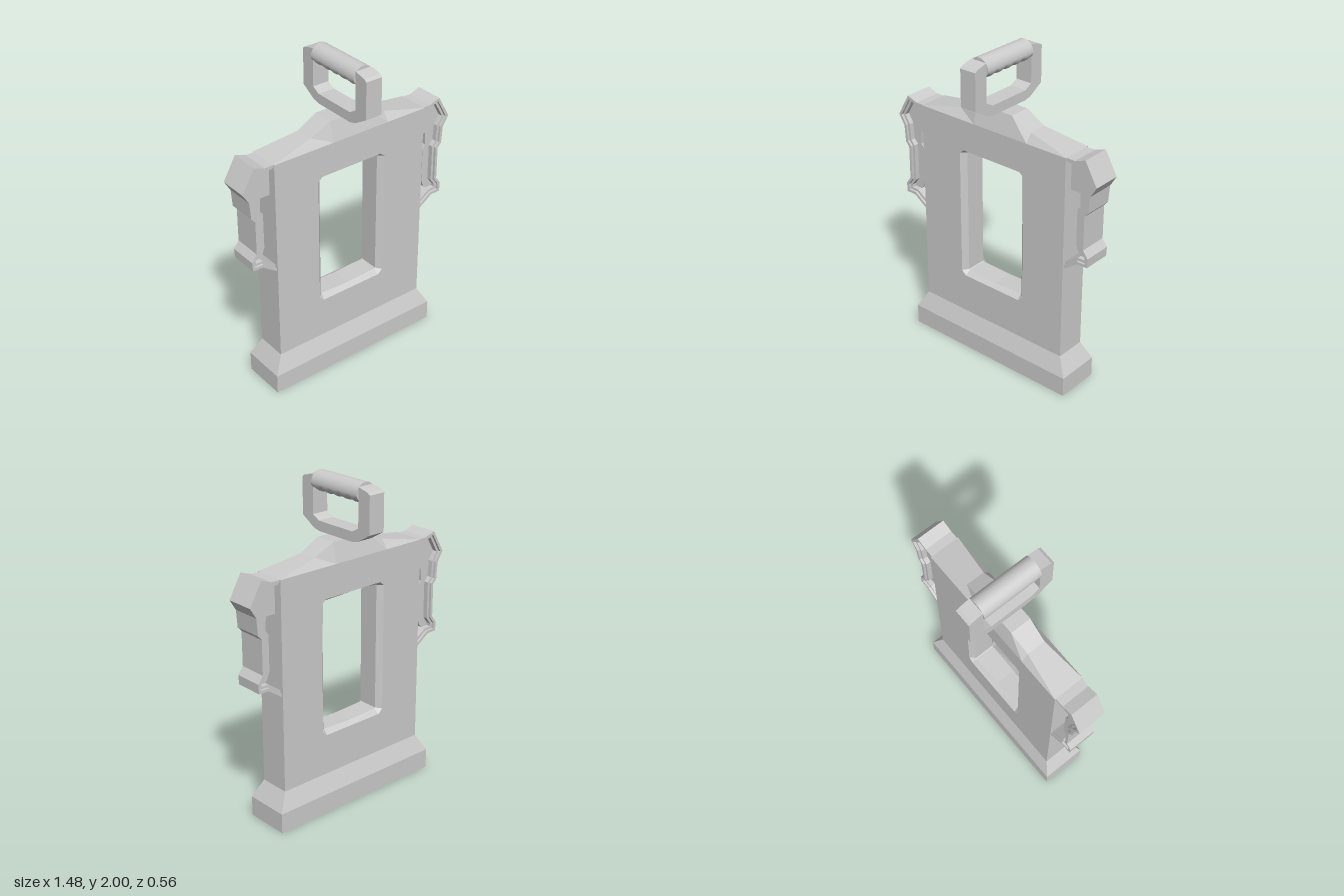
import * as THREE from 'three';

const mat = new THREE.MeshStandardMaterial({ color: 0xcccccc, flatShading: true, side: THREE.DoubleSide });
const smooth = new THREE.MeshStandardMaterial({ color: 0xcccccc });

function add(parent, name, geometry, material = mat) {
  const m = new THREE.Mesh(geometry, material);
  m.name = name;
  parent.add(m);
  return m;
}

// Skin a row of cross-sections with quads
function loft(rings, closed = true) {
  const pos = [];
  for (let i = 0; i < rings.length - 1; i++) {
    const r = rings[i], q = rings[i + 1], n = r.length;
    for (let j = 0; j < (closed ? n : n - 1); j++) {
      const k = (j + 1) % n;
      pos.push(...r[j], ...r[k], ...q[k], ...r[j], ...q[k], ...q[j]);
    }
  }
  const g = new THREE.BufferGeometry();
  g.setAttribute('position', new THREE.Float32BufferAttribute(pos, 3));
  g.computeVertexNormals();
  return g;
}

const shapeOf = pts => new THREE.Shape(pts.map(p => new THREE.Vector2(p[0], p[1])));

// Flat outline extruded evenly to both sides of z = 0
function slab(pts, half) {
  const g = new THREE.ExtrudeGeometry(shapeOf(pts), { depth: half * 2, bevelEnabled: false });
  return g.translate(0, 0, -half);
}

// Shift an open path to the right of its direction, with mitred corners
function inset(path, d) {
  const normal = (a, b) => {
    const l = Math.hypot(b[0] - a[0], b[1] - a[1]);
    return [(b[1] - a[1]) / l, -(b[0] - a[0]) / l];
  };
  return path.map((p, i) => {
    const n1 = normal(path[Math.max(i - 1, 0)], path[Math.max(i, 1)]);
    const last = path.length - 1;
    const n2 = normal(path[Math.min(i, last - 1)], path[Math.min(i + 1, last)]);
    const k = d / (1 + n1[0] * n2[0] + n1[1] * n2[1]);
    return [p[0] + (n1[0] + n2[0]) * k, p[1] + (n1[1] + n2[1]) * k];
  });
}

const W = 0.535, D = 0.097, Y0 = 0.235, Y1 = 1.535;

function makeBody() {
  const body = new THREE.Group();
  body.name = 'body';

  // Flared skirt, open underneath
  const rect = (w, d, y) => [[-w, y, d], [w, y, d], [w, y, -d], [-w, y, -d]];
  add(body, 'baseSkirt', loft([rect(0.597, 0.14, 0), rect(0.597, 0.14, 0.125), rect(W, D, Y0)]));

  // Front and back plates with the window opening
  const opening = [[0.21, 0.49], [0.24, 0.517], [0.24, 1.32], [0.21, 1.345], [0, 1.345],
    [-0.21, 1.345], [-0.24, 1.32], [-0.24, 0.517], [-0.21, 0.49], [0, 0.49]];
  const throat = [[0.204, 0.518], [0.21, 0.523], [0.21, 1.32], [0.204, 1.324], [0, 1.335],
    [-0.204, 1.324], [-0.21, 1.32], [-0.21, 0.523], [-0.204, 0.518], [0, 0.51]];
  const plate = shapeOf([[-W, Y0], [W, Y0], [W, Y1], [-W, Y1]]);
  plate.holes.push(new THREE.Path(opening.map(p => new THREE.Vector2(...p))));
  add(body, 'frontPlate', new THREE.ShapeGeometry(plate).translate(0, 0, D));
  add(body, 'backPlate', new THREE.ShapeGeometry(plate).rotateY(Math.PI).translate(0, 0, -D));

  // Chamfered lining of the window
  const at = (pts, z) => pts.map(([x, y]) => [x, y, z]);
  add(body, 'windowLining', loft([at(opening, D), at(throat, 0.065), at(throat, -0.065), at(opening, -D)]));

  // Narrow sides
  for (const s of [1, -1]) {
    add(body, s > 0 ? 'leftWall' : 'rightWall',
      new THREE.PlaneGeometry(2 * D, Y1 - Y0).rotateY(s * Math.PI / 2).translate(s * W, (Y0 + Y1) / 2, 0));
  }

  // Faceted shoulders rising to a flat crown
  const crest = [[W, Y1 + 0.002, D - 0.001], [0.26, 1.59, 0.058], [0.13, 1.655, 0.066],
    [-0.13, 1.655, 0.066], [-0.26, 1.59, 0.058], [-W, Y1 + 0.002, D - 0.001]];
  add(body, 'shoulders', loft(crest.map(([x, y, z]) => [[x, Y1, D], [x, y, z], [x, y, -z], [x, Y1, -D]]), false));
  return body;
}

// Side latch: stepped outer rim around a recessed web with a slot
function makeLatch(s) {
  const latch = new THREE.Group();
  latch.name = s > 0 ? 'leftLatch' : 'rightLatch';
  const outer = [[0.53, 1.535], [0.59, 1.535], [0.66, 1.56], [0.74, 1.42], [0.70, 1.355], [0.692, 1.25],
    [0.667, 1.222], [0.667, 1.01], [0.70, 0.965], [0.697, 0.907], [0.63, 0.905], [0.53, 0.835]];
  const slot = [[0.6, 0.955], [0.585, 1.0], [0.585, 1.22], [0.605, 1.245], [0.6, 1.327], [0.53, 1.327]];
  const side = pts => pts.map(([x, y]) => [s * x, y]);
  const strip = (a, b) => side([...inset(outer, a), ...inset(outer, b).reverse()]);
  add(latch, 'outerRim', slab(strip(0, 0.017), 0.09));
  add(latch, 'innerRim', slab(strip(0.017, 0.032), 0.075));
  add(latch, 'web', slab(side([...inset(outer, 0.032).slice(0, -1), ...slot]), 0.045));
  return latch;
}

function makeHandle() {
  const handle = new THREE.Group();
  handle.name = 'handle';

  // U-shaped bail, drawn in profile and turned to run along z
  const half = [[0.14, 1.657], [0.185, 1.668], [0.28, 1.725], [0.28, 1.95], [0.262, 1.963], [0.19, 1.98],
    [0.19, 1.745], [0.14, 1.718]];
  const mirrored = half.map(([x, y]) => [-x, y]).reverse();
  add(handle, 'bail', slab([...half, ...mirrored], 0.054).rotateY(Math.PI / 2));

  // Round grip with finger bumps underneath
  const grip = new THREE.CylinderGeometry(0.067, 0.067, 0.38, 32, 50).rotateX(Math.PI / 2);
  const p = grip.attributes.position;
  for (let i = 0; i < p.count; i++) {
    const y = p.getY(i);
    if (y < 0) {
      const bump = Math.abs(Math.cos(p.getZ(i) * Math.PI / 0.074));
      p.setY(i, y * (0.58 + 0.22 * bump));
    }
  }
  grip.computeVertexNormals();
  add(handle, 'grip', grip.translate(0, 1.933, 0), smooth);
  return handle;
}

export function createModel() {
  const model = new THREE.Group();
  model.name = 'casing';
  model.add(makeBody(), makeLatch(1), makeLatch(-1), makeHandle());
  return model;
}
